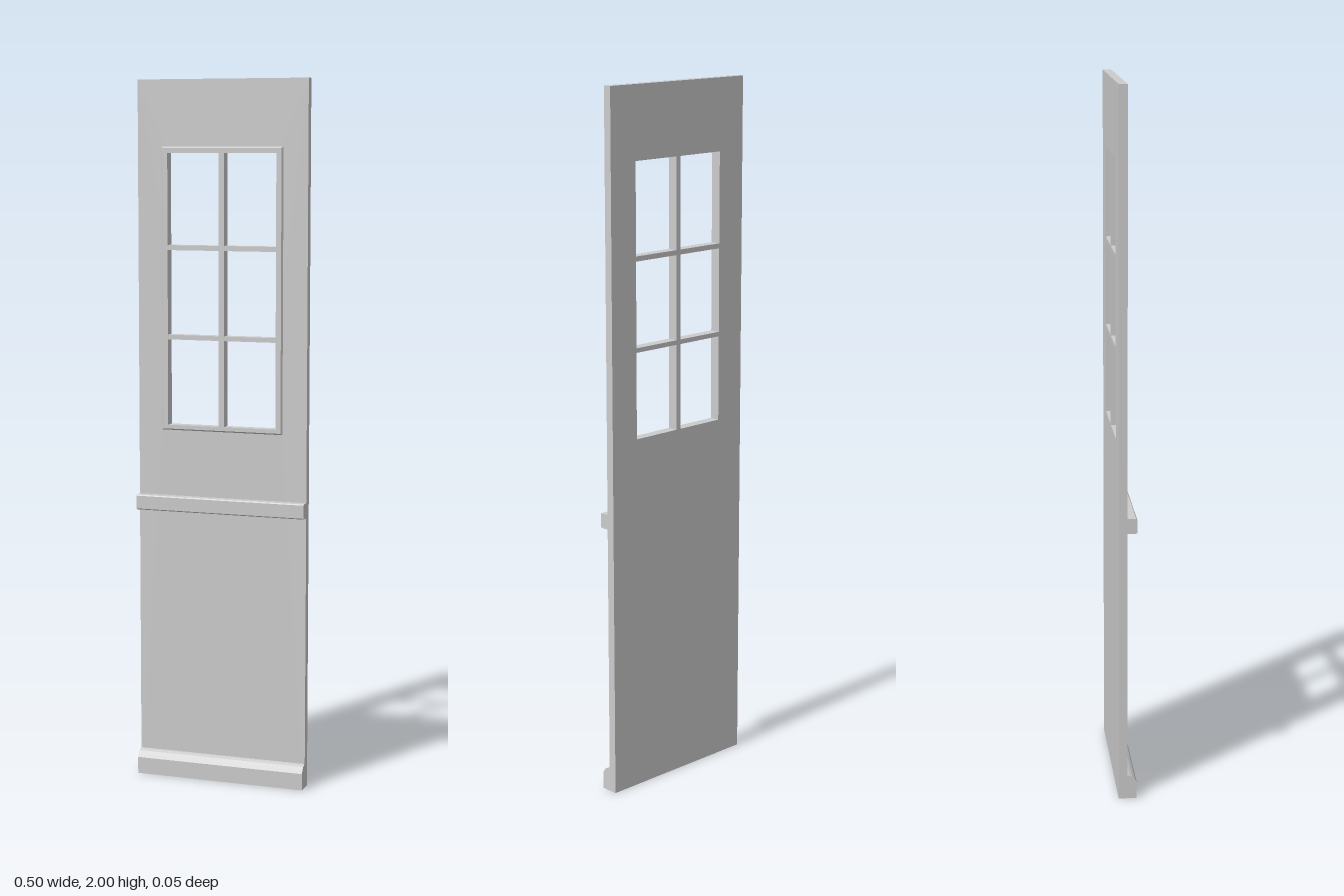
import * as THREE from 'three';

const W = 0.25, BACK = -0.027, FACE = -0.003, RAISED = 0.003, TRIM = 0.024;
const PANES_X = [[-0.16, -0.008], [0.008, 0.16]];
const PANES_Y = [[1.03, 1.274], [1.287, 1.526], [1.54, 1.797]];

function rect(Type, x0, x1, y0, y1) {
  const r = new Type();
  r.moveTo(x0, y0);
  r.lineTo(x1, y0);
  r.lineTo(x1, y1);
  r.lineTo(x0, y1);
  r.closePath();
  return r;
}

// Rectangular slab pierced by the six window panes
function piercedSlab(x, y0, y1, z0, z1) {
  const shape = rect(THREE.Shape, -x, x, y0, y1);
  for (const [a, b] of PANES_X)
    for (const [c, d] of PANES_Y) shape.holes.push(rect(THREE.Path, a, b, c, d));
  return new THREE.ExtrudeGeometry(shape, { depth: z1 - z0, bevelEnabled: false }).translate(0, 0, z0);
}

// Horizontal moulding from a (z, y) profile running the full width
function moulding(points) {
  const shape = new THREE.Shape(points.map(([z, y]) => new THREE.Vector2(-z, y)));
  return new THREE.ExtrudeGeometry(shape, { depth: 2 * W, bevelEnabled: false })
    .translate(0, 0, -W).rotateY(Math.PI / 2);
}

export function createModel() {
  const group = new THREE.Group();
  const material = new THREE.MeshStandardMaterial({ color: 0xcccccc, flatShading: true });
  const add = (name, geometry) => {
    const mesh = new THREE.Mesh(geometry, material);
    mesh.name = name;
    group.add(mesh);
  };

  // Wall panel with glazing bars
  add('wallPanel', piercedSlab(W, 0, 2, BACK, FACE));

  // Raised window surround, its outer front edge chamfered inwards
  const x = 0.179, y0 = 1.015, y1 = 1.815, chamfer = 0.004;
  const frame = piercedSlab(x, y0, y1, FACE, RAISED);
  const p = frame.attributes.position;
  for (let i = 0; i < p.count; i++) {
    if (p.getZ(i) < 0) continue;
    if (Math.abs(p.getX(i)) > x - 0.001) p.setX(i, Math.sign(p.getX(i)) * (x - chamfer));
    if (p.getY(i) < y0 + 0.001) p.setY(i, y0 + chamfer);
    if (p.getY(i) > y1 - 0.001) p.setY(i, y1 - chamfer);
  }
  frame.computeVertexNormals();
  add('windowFrame', frame);

  // Chair rail with eased front edges
  add('chairRail', moulding([
    [FACE, 0.783], [0.021, 0.783], [TRIM, 0.786], [TRIM, 0.823], [0.021, 0.826], [FACE, 0.826],
  ]));

  // Skirting board with a sloped, rounded top
  add('skirtingBoard', moulding([
    [FACE, 0], [TRIM, 0], [TRIM, 0.048], [0.019, 0.058], [0.011, 0.065], [0.003, 0.069], [FACE, 0.07],
  ]));

  return group;
}
